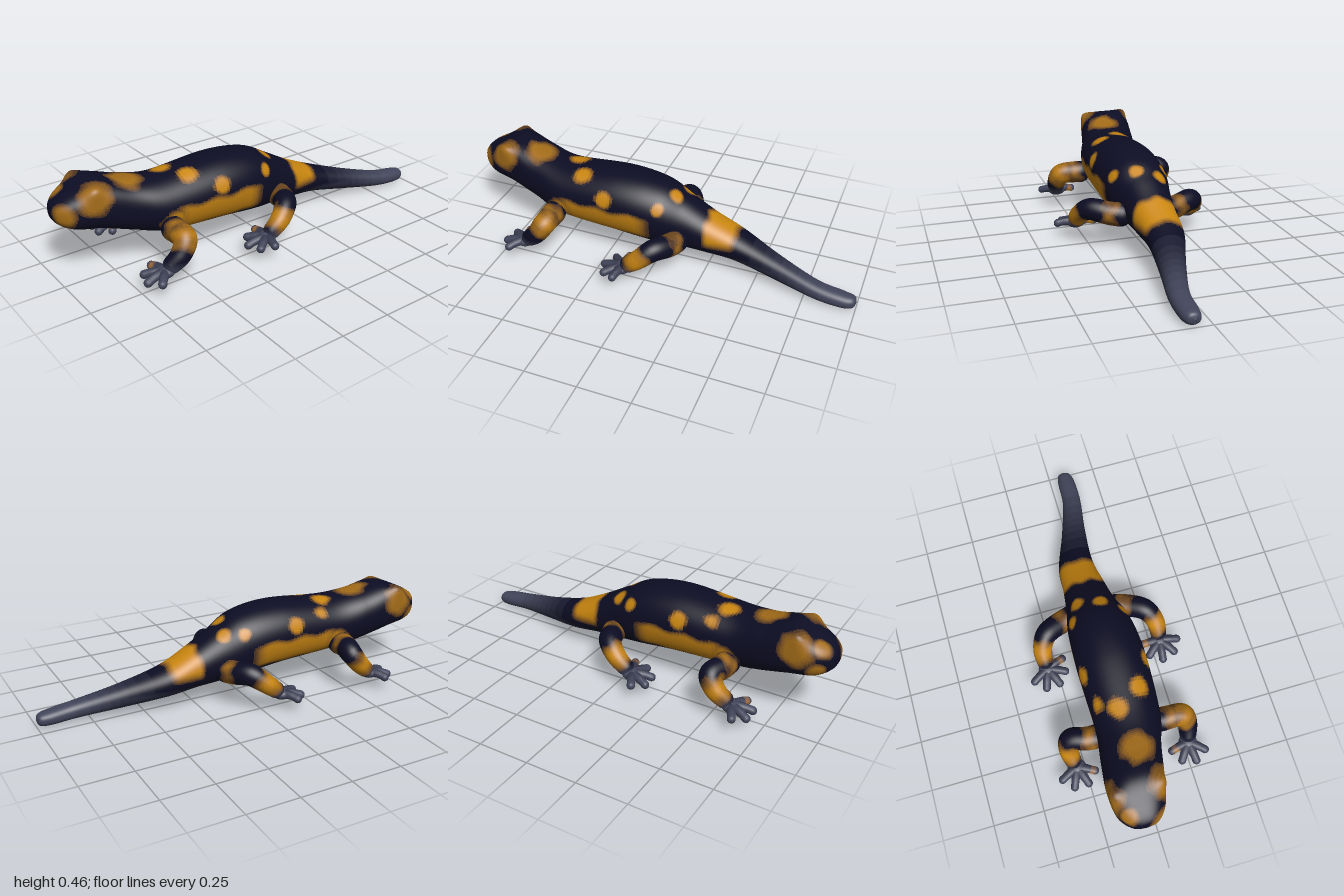
import * as THREE from 'three';

const V = (a) => new THREE.Vector3(...a);
const NAVY = new THREE.Color(0x0d0d24), ORANGE = new THREE.Color(0xc9860f), GREY = new THREE.Color(0x42455a);
const LEVELS = 8;
const materials = new Map();
const step = THREE.MathUtils.smoothstep;

// Material for a quantised blend of dark skin, grey skin and orange marking
function skinMaterial(orange, grey) {
  const key = orange * 10 + grey;
  if (!materials.has(key)) {
    const color = NAVY.clone().lerp(GREY, grey / LEVELS).lerp(ORANGE, orange / LEVELS);
    materials.set(key, new THREE.MeshStandardMaterial({ color }));
  }
  return materials.get(key);
}

// Closed skin around f(u, angle); its triangles are sorted into one mesh per skin colour
function skin(name, nu, nv, f, paint) {
  const pos = [], index = [], byColour = new Map();
  for (let i = 0; i <= nu; i++)
    for (let j = 0; j < nv; j++) pos.push(...f(i / nu, (j / nv) * Math.PI * 2).toArray());
  const at = (k) => new THREE.Vector3().fromArray(pos, k * 3);
  const addFace = (a, b, c) => {
    index.push(a, b, c);
    const weights = paint(at(a).add(at(b)).add(at(c)).divideScalar(3));
    const material = skinMaterial(...weights.map((w) => Math.round(w * LEVELS)));
    if (!byColour.has(material)) byColour.set(material, []);
    byColour.get(material).push(a, b, c);
  };
  for (let i = 0; i < nu; i++)
    for (let j = 0; j < nv; j++) {
      const k = (j + 1) % nv, a = i * nv + j, b = a + nv, c = i * nv + k, d = c + nv;
      addFace(a, b, c);
      addFace(b, d, c);
    }
  const whole = new THREE.BufferGeometry();
  whole.setAttribute('position', new THREE.Float32BufferAttribute(pos, 3));
  whole.setIndex(index);
  whole.computeVertexNormals();
  const group = new THREE.Group();
  group.name = name;
  for (const [material, faces] of byColour) {
    const g = new THREE.BufferGeometry();
    g.setAttribute('position', whole.attributes.position);
    g.setAttribute('normal', whole.attributes.normal);
    g.setIndex(faces);
    const mesh = new THREE.Mesh(g, material);
    mesh.name = name + 'Skin';
    group.add(mesh);
  }
  return group;
}

// Strongest orange weight among soft round spots [x, y, z, radius]
function spotWeight(p, spots) {
  const wobble = 1 + 0.1 * Math.sin(p.x * 60 + p.z * 45) * Math.cos(p.y * 70);
  return spots.reduce((w, [x, y, z, r]) =>
    Math.max(w, 1 - step(Math.hypot(p.x - x, p.y - y, p.z - z) * wobble, r * 0.55, r * 1.25)), 0);
}

// Body sections from snout to tail tip: z, centre x, half width, top y, bottom y
const SECTIONS = [
  [1, -0.07, 0, 0.34, 0.34], [0.985, -0.072, 0.06, 0.385, 0.295], [0.92, -0.075, 0.113, 0.425, 0.256],
  [0.8, -0.067, 0.136, 0.466, 0.23], [0.66, -0.043, 0.145, 0.436, 0.188], [0.5, -0.01, 0.158, 0.42, 0.152],
  [0.2, -0.002, 0.169, 0.442, 0.134], [0, -0.004, 0.156, 0.418, 0.11], [-0.13, -0.01, 0.124, 0.352, 0.093],
  [-0.25, -0.011, 0.106, 0.285, 0.083], [-0.4, -0.013, 0.09, 0.215, 0.068], [-0.6, 0.03, 0.064, 0.148, 0.038],
  [-0.8, 0.075, 0.049, 0.095, 0.012], [-0.93, 0.082, 0.045, 0.074, 0.002], [-0.985, 0.08, 0.032, 0.062, 0.008],
  [-1, 0.078, 0, 0.036, 0.036],
];
// Head markings, then back markings
const SPOTS = [
  [-0.02, 0.43, 0.66, 0.08], [0.05, 0.41, 0.84, 0.08], [-0.19, 0.39, 0.84, 0.08],
  [-0.01, 0.34, 0.96, 0.058], [-0.14, 0.4, 0.94, 0.046], [-0.17, 0.3, 0.93, 0.045],
  [-0.05, 0.43, 0.46, 0.05], [0.08, 0.42, 0.39, 0.05], [-0.15, 0.4, 0.41, 0.045],
  [-0.085, 0.34, -0.11, 0.036], [0.025, 0.37, -0.08, 0.038],
];
// Markings found on both flanks
for (const side of [-1, 1])
  SPOTS.push([side * 0.155, 0.35, 0.25, 0.042], [side * 0.155, 0.22, 0.5, 0.065], [side * 0.125, 0.34, -0.02, 0.032]);

function body() {
  const spline = (points) => new THREE.CatmullRomCurve3(points, false, 'catmullrom');
  const width = spline(SECTIONS.map(([z, x, w]) => V([x, w, z])));
  const height = spline(SECTIONS.map(([, , , top, bottom]) => V([top, bottom, 0])));
  const surface = (u, angle) => {
    const a = width.getPoint(u), h = height.getPoint(u);
    // boxy head, and a belly flatter than the back
    const belly = Math.max(0, -Math.sin(angle)) * step(a.z, -0.3, 0.1);
    const power = 2 / (2.15 + 0.55 * Math.max(step(a.z, 0.5, 0.8), belly));
    const round = (s) => Math.sign(s) * Math.abs(s) ** power;
    const p = V([
      a.x + a.y * round(Math.cos(angle)),
      (h.x + h.y) / 2 + ((h.x - h.y) / 2) * round(Math.sin(angle)), a.z]);
    // eye bulges on the upper corners of the head
    for (const side of [-1, 1]) {
      const eye = V([-0.064 + side * 0.11, 0.445, 0.845]);
      const bulge = 0.028 * Math.exp(-p.distanceToSquared(eye) / 0.002);
      p.x += side * 0.75 * bulge;
      p.y += 0.75 * bulge;
    }
    return p;
  };
  const paint = (p) => {
    // flank stripe, tail band and grey tail
    const ragged = 0.007 * Math.sin(p.z * 38) + 0.005 * Math.sin(p.x * 70);
    const flank = step(p.z, 0, 0.09) * (1 - step(p.z, 0.42, 0.52))
      * step(p.y + ragged * 0.6, 0.155, 0.19) * (1 - step(p.y + ragged, 0.27, 0.305));
    const band = step(p.z + ragged * 0.5, -0.41, -0.36)
      * (1 - step(p.z + ragged, -0.26, -0.23)) * step(p.y, 0.14, 0.2);
    const spots = spotWeight(p, SPOTS) * (p.z > 0.57 ? 0.6 : 1);
    const grey = Math.max(1 - step(p.z, -0.9, -0.4), 0.4 * (1 - step(p.y, 0.09, 0.13)));
    return [Math.max(flank * 0.85, band, spots), grey];
  };
  return skin('body', 260, 130, surface, paint);
}

// Round-ended tapering limb through points, with evenly spaced radii
function limb(name, points, radii, nu, nv, paint) {
  const curve = new THREE.CatmullRomCurve3(points);
  const frames = curve.computeFrenetFrames(nu, false), length = curve.getLength();
  const cap = (d, size) => Math.sqrt(Math.max(0, 1 - Math.max(0, 1 - d / size) ** 2));
  const surface = (s, angle) => {
    const u = (1 - Math.cos(s * Math.PI)) / 2, t = u * (radii.length - 1);
    const k = Math.min(Math.floor(t), radii.length - 2), f = Math.round(u * nu);
    const r = THREE.MathUtils.lerp(radii[k], radii[k + 1], t - k)
      * cap(u * length, radii[0]) * cap((1 - u) * length, radii.at(-1));
    return curve.getPointAt(u)
      .addScaledVector(frames.normals[f], r * Math.cos(angle))
      .addScaledVector(frames.binormals[f], -r * Math.sin(angle));
  };
  return skin(name, nu, nv, surface, paint);
}

// Leg paths on the left side, from inside the body to the wrist
const FRONT = [[0.1, 0.205, 0.52], [0.19, 0.21, 0.52], [0.258, 0.203, 0.525], [0.278, 0.15, 0.56], [0.262, 0.082, 0.635]];
const HIND = [[0.06, 0.17, -0.125], [0.16, 0.18, -0.1], [0.25, 0.193, -0.045], [0.288, 0.15, 0.015], [0.288, 0.085, 0.095]];

// side mirrors the path; reach moves the lower leg outward and back; turn aims the toe fan outward
function leg(name, path, side, reach, turn, toeCount, marked) {
  const group = new THREE.Group();
  group.name = name;
  const points = path.map(([x, y, z], i) => V([side * (x + reach * Math.min(1, i / 2)), y, z - reach * (i > 1 ? 1.1 : 0.3)]));
  const palm = points[4];
  const toes = Array.from({ length: toeCount }, (_, i) => {
    const angle = turn + (i - (toeCount - 1) / 2) * 0.74, span = 0.118 - 0.01 * Math.abs(Math.sin(angle));
    return palm.clone().add(V([side * span * Math.sin(angle), -0.005 - 0.02 * Math.cos(angle), span * Math.cos(angle)]));
  });
  // orange at the root, the chosen joint and the inner toe
  const spots = [[...points[1], 0.06], [...points[marked], 0.07], [...palm.clone().lerp(toes[0], 0.65), 0.026]];
  const paint = (p) => [spotWeight(p, spots), 1 - step(p.y, 0.085, 0.14)];
  group.add(limb('limb', points, [0.062, 0.057, 0.054, 0.046, 0.037], 90, 36, paint));

  const pad = new THREE.Mesh(new THREE.SphereGeometry(1, 24, 16), skinMaterial(0, LEVELS));
  pad.name = 'palm';
  pad.scale.set(0.045, 0.028, 0.043);
  pad.position.copy(palm);
  group.add(pad);

  for (const tip of toes) {
    const knuckle = palm.clone().lerp(tip, 0.5);
    knuckle.y += 0.008;
    group.add(limb('toe', [palm, knuckle, tip], [0.026, 0.022, 0.019, 0.021], 20, 14, paint));
  }
  return group;
}

export function createModel() {
  const model = new THREE.Group();
  model.name = 'salamander';
  model.add(
    body(),
    leg('frontLeftLeg', FRONT, 1, 0, -0.22, 4, 2),
    leg('frontRightLeg', FRONT, -1, 0.03, 0, 4, 3),
    leg('hindLeftLeg', HIND, 1, 0, -0.1, 5, 3),
    leg('hindRightLeg', HIND, -1, 0.01, -0.43, 5, 3),
  );
  return model;
}
